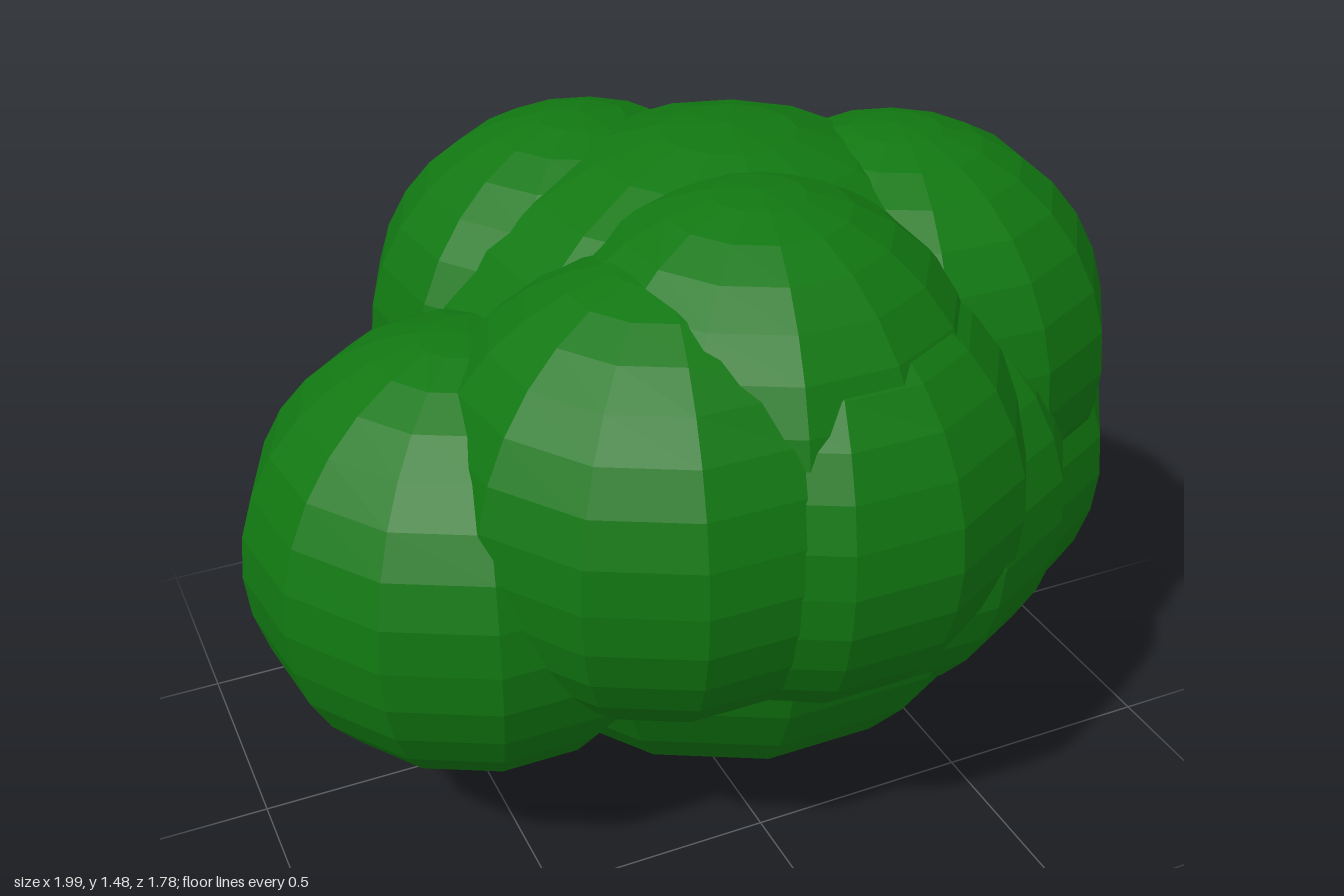
import * as THREE from 'three';

export function createModel() {
  const bush = new THREE.Group();
  bush.name = 'bush';
  const leafGreen = new THREE.MeshStandardMaterial({ color: 0x117711, flatShading: true });

  // one faceted ball, turned so that a column of corners faces the back
  const ball = new THREE.SphereGeometry(1, 13, 16).rotateY(-Math.PI / 2);

  // name, x, y, z, radius of each foliage clump
  const clumps = [
    ['coreClump', 0.12, 0.745, 0.03, 0.74],
    ['rightClump', -0.51, 0.7, 0.15, 0.49],
    ['leftClump', 0.51, 0.7, 0.11, 0.49],
    ['upperLeftClump', 0.47, 0.97, 0.12, 0.49],
    ['backLeftClump', 0.4, 0.725, -0.4, 0.49],
    ['backRightClump', -0.1, 0.96, -0.24, 0.49],
    ['frontRightClump', -0.18, 0.88, 0.365, 0.49],
    ['frontClump', 0.097, 0.87, 0.41, 0.49],
    ['frontLeftClump', 0.265, 0.765, 0.313, 0.49],
    ['upperFrontClump', 0.04, 0.98, 0.33, 0.49],
  ];

  for (const [name, x, y, z, radius] of clumps) {
    const clump = new THREE.Mesh(ball, leafGreen);
    clump.name = name;
    clump.position.set(x, y, z);
    clump.scale.setScalar(radius);
    bush.add(clump);
  }
  return bush;
}
